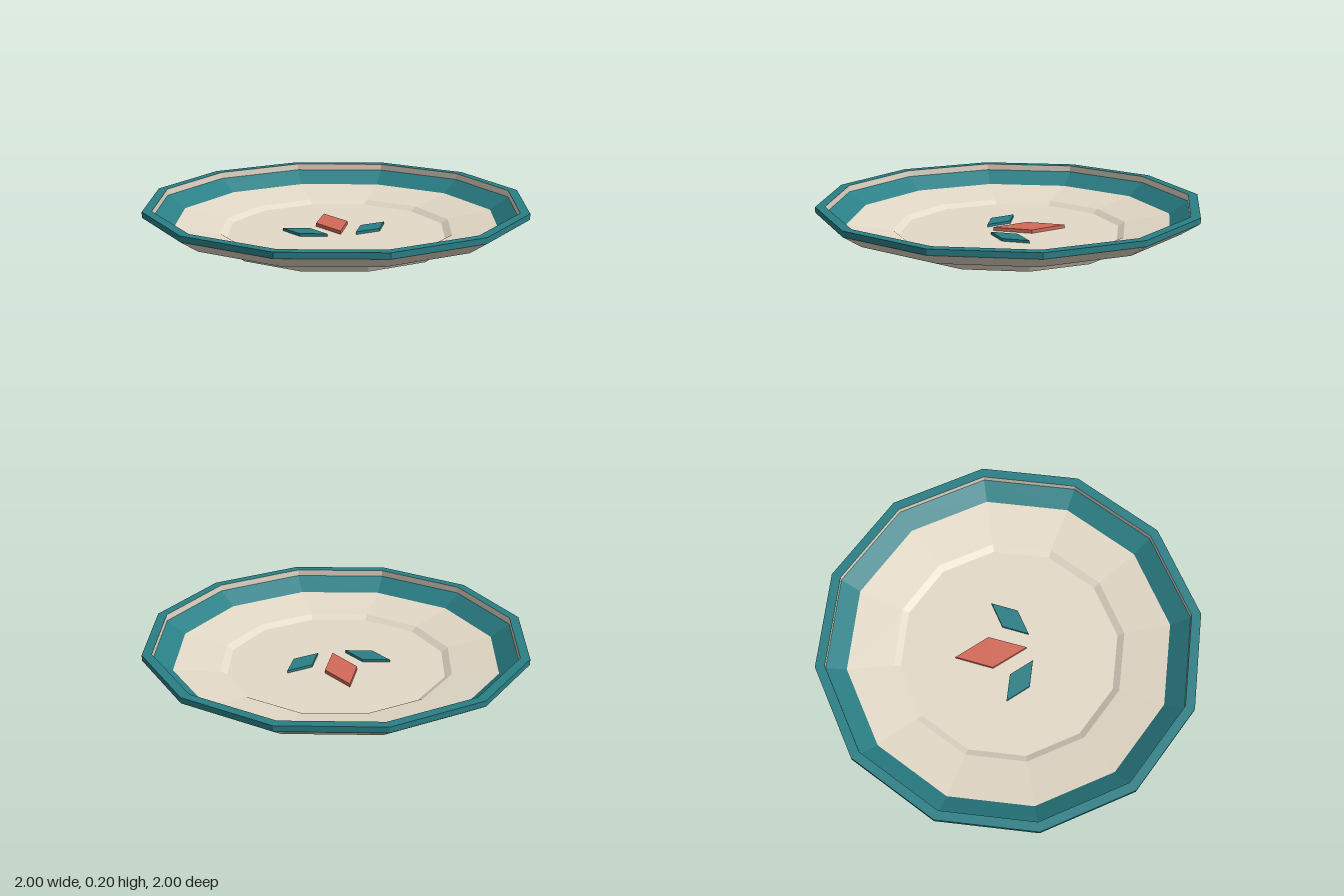
import * as THREE from 'three';

const SIDES = 12;

function material(color) {
  return new THREE.MeshStandardMaterial({ color, flatShading: true });
}

export function createModel() {
  const model = new THREE.Group();
  model.name = 'plate';
  const cream = material(0xe4dac8);
  const teal = material(0x2a7f86);
  const coral = material(0xd46a59);

  // Turned, faceted surface from a profile of [radius, height]
  function turned(name, profile, mat) {
    const points = profile.map(([r, y]) => new THREE.Vector2(r, y));
    const mesh = new THREE.Mesh(new THREE.LatheGeometry(points, SIDES), mat);
    mesh.name = name;
    model.add(mesh);
  }

  // Thin rhombus tile lying on the floor of the plate
  function tile(name, corners, bottom, top, mat) {
    const shape = new THREE.Shape(corners.map(([x, z]) => new THREE.Vector2(x, -z)));
    const geometry = new THREE.ExtrudeGeometry(shape, { depth: top - bottom, bevelEnabled: false });
    geometry.rotateX(-Math.PI / 2).translate(0, bottom, 0);
    const mesh = new THREE.Mesh(geometry, mat);
    mesh.name = name;
    model.add(mesh);
  }

  // Foot and underside
  turned('underside', [[0, 0], [0.62, 0], [0.66, 0.07], [0.9, 0.105], [1, 0.17]], cream);

  // Coloured lip, plain inner wall and coloured sloping band
  turned('rim', [[1, 0.17], [1, 0.2], [0.95, 0.2]], teal);
  turned('rimInnerWall', [[0.95, 0.2], [0.95, 0.165]], cream);
  turned('innerBand', [[0.95, 0.165], [0.85, 0.1]], teal);

  // Shallow well with a small step down to the floor
  turned('well', [[0.85, 0.1], [0.61, 0.063], [0.575, 0.042], [0, 0.042]], cream);

  // Flower motif: a bud and two mirrored leaves
  tile('bud', [[0, -0.285], [0.085, -0.1], [0, 0.09], [-0.085, -0.1]], 0.036, 0.06, coral);
  const leaf = [[0.075, 0.112], [0.135, -0.018], [0.273, -0.056], [0.213, 0.074]];
  tile('leftLeaf', leaf, 0.034, 0.056, teal);
  tile('rightLeaf', leaf.map(([x, z]) => [-x, z]), 0.034, 0.056, teal);

  return model;
}
